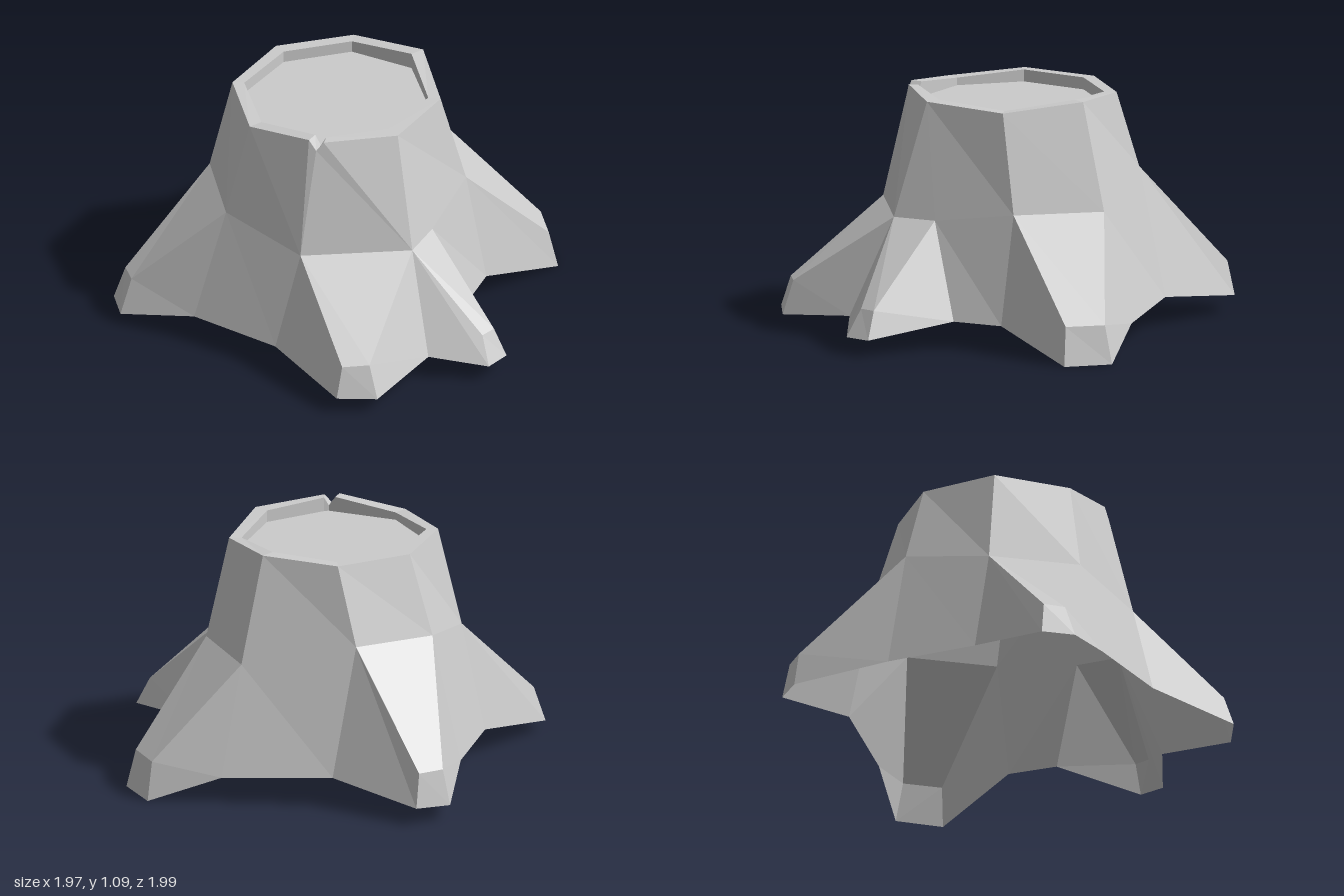
import * as THREE from 'three';

const wood = new THREE.MeshStandardMaterial({ color: 0xcccccc, flatShading: true, side: THREE.DoubleSide });
wood.name = 'grey wood';

// Turns polygons (corner lists, counter-clockwise from outside) into a faceted mesh
function facets(name, polygons) {
  const pos = [];
  for (const p of polygons)
    for (let i = 1; i < p.length - 1; i++) pos.push(...p[0], ...p[i], ...p[i + 1]);
  const geo = new THREE.BufferGeometry();
  geo.setAttribute('position', new THREE.Float32BufferAttribute(pos, 3));
  geo.computeVertexNormals();
  const mesh = new THREE.Mesh(geo, wood);
  mesh.name = name;
  return mesh;
}

// Wall of quads between two closed rings of equal length
const band = (low, high) => low.map((p, i) => {
  const j = (i + 1) % low.length;
  return [p, high[i], high[j], low[j]];
});

// Rings run back, right, front, left. The rim has a small nick at points 5 to 7.
const rim = [
  [-0.04, 1.07, -0.49], [0.30, 1.07, -0.36], [0.46, 1.09, -0.05], [0.31, 1.055, 0.29], [-0.045, 1.07, 0.45],
  [-0.36, 1.08, 0.315], [-0.39, 1.04, 0.30], [-0.405, 1.085, 0.265], [-0.52, 1.05, -0.03], [-0.38, 1.07, -0.355],
];
const innerXZ = [
  [-0.04, -0.43], [0.26, -0.32], [0.395, -0.05], [0.27, 0.25], [-0.045, 0.38],
  [-0.325, 0.287], [-0.345, 0.275], [-0.355, 0.245], [-0.455, -0.03], [-0.34, -0.32],
];
const waist = [
  [-0.06, 0.705, -0.61], [0.31, 0.715, -0.48], [0.61, 0.61, -0.055], [0.43, 0.61, 0.32],
  [-0.08, 0.555, 0.61], [-0.51, 0.55, 0.345], [-0.63, 0.62, -0.06], [-0.445, 0.62, -0.44],
];
const shoulder = [0.10, 0.555, 0.515];

// Each root: waist pair, top edge and foot edge of the tip, ground valley on either side
const roots = [
  { name: 'backRoot', m: [waist[0], waist[1]],
    t: [[0.265, 0.235, -0.965], [0.38, 0.235, -0.925]], f: [[0.255, 0.07, -1], [0.415, 0.08, -0.94]],
    v: [[-0.10, 0.13, -0.745], [0.485, 0.14, -0.495]] },
  { name: 'leftRoot', m: [waist[2], waist[3]],
    t: [[0.94, 0.175, 0.19], [0.865, 0.175, 0.355]], f: [[0.98, 0, 0.18], [0.895, 0, 0.385]],
    v: [[0.775, 0.12, -0.085], [0.47, 0.12, 0.42]] },
  { name: 'frontRoot', m: [shoulder, waist[4]],
    t: [[0.16, 0.2, 0.905], [0.085, 0.2, 0.92]], f: [[0.19, 0.075, 0.96], [0.07, 0.075, 0.99]],
    v: [[0.28, 0.125, 0.545], [-0.14, 0.115, 0.815]] },
  { name: 'frontRightRoot', m: [waist[4], waist[5]],
    t: [[-0.5, 0.225, 0.86], [-0.605, 0.22, 0.795]], f: [[-0.5, 0.075, 0.92], [-0.65, 0.08, 0.815]],
    v: [[-0.14, 0.115, 0.815], [-0.65, 0.12, 0.345]] },
  { name: 'rightRoot', m: [waist[6], waist[7]],
    t: [[-0.92, 0.21, -0.385], [-0.885, 0.21, -0.48]], f: [[-0.985, 0.05, -0.38], [-0.92, 0.05, -0.52]],
    v: [[-0.80, 0.125, -0.07], [-0.48, 0.13, -0.55]] },
];

export function createModel() {
  const stump = new THREE.Group();
  stump.name = 'treeStump';

  // Trunk above the waist; the two front faces meet at the nick
  const upper = [0, 1, 2, 3, 4, 8, 9].map((r) => rim[r]);
  const trunk = [];
  for (let i = 0; i < 3; i++) trunk.push([waist[i], upper[i], upper[i + 1], waist[i + 1]]);
  trunk.push([rim[4], waist[4], shoulder, waist[3], rim[3]]);
  trunk.push([waist[4], rim[4], rim[5], rim[6], waist[5]]);
  trunk.push([waist[5], rim[6], rim[7], rim[8], waist[6]]);
  trunk.push([waist[6], rim[8], rim[9], waist[7]]);
  trunk.push([waist[7], rim[9], rim[0], waist[0]]);
  stump.add(facets('trunk', trunk));

  // Flared roots with open undersides
  for (const { name, m, t, f, v } of roots) {
    stump.add(facets(name, [
      [t[0], m[0], m[1], t[1]],
      [f[0], t[0], t[1], f[1]],
      [v[0], m[0], t[0], f[0]],
      [f[1], t[1], m[1], v[1]],
    ]));
  }

  // Trunk base between neighbouring roots
  const base = [];
  roots.forEach((r, i) => {
    const next = roots[(i + 1) % roots.length];
    if (r.m[1] !== next.m[0]) base.push([r.v[1], r.m[1], next.m[0], next.v[0]]);
  });
  stump.add(facets('trunkBase', base));

  // Bark rim around the sunken cut face
  const lip = innerXZ.map(([x, z], i) => [x, rim[i][1], z]);
  const floor = innerXZ.map(([x, z]) => [x, 1.015, z]);
  stump.add(facets('barkRim', band(rim, lip)));
  stump.add(facets('barkRimInside', band(lip, floor)));
  stump.add(facets('cutFace', [[...floor].reverse()]));
  return stump;
}
